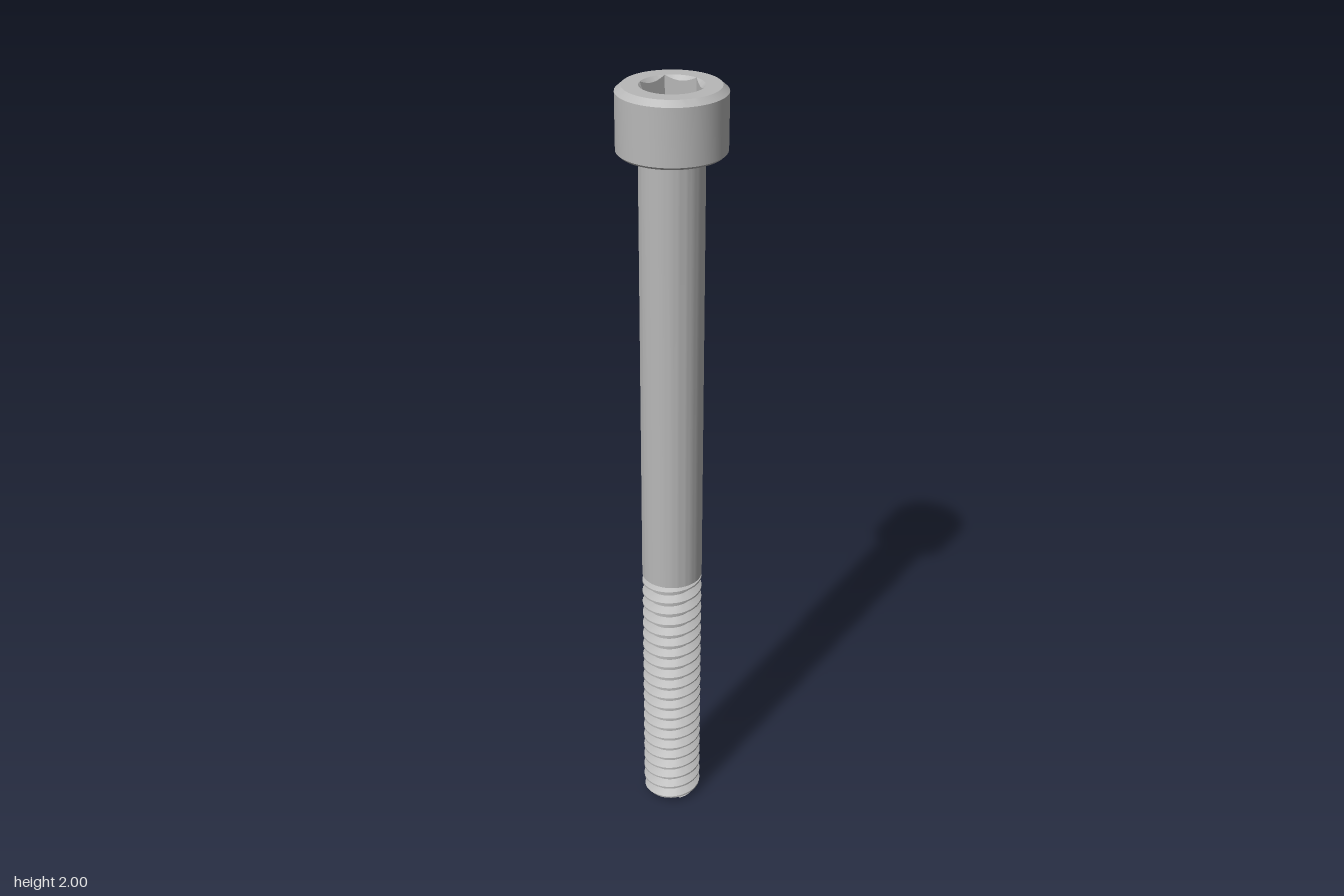
import * as THREE from 'three';
import { toCreasedNormals } from 'three/addons/utils/BufferGeometryUtils.js';

const steel = new THREE.MeshStandardMaterial({ color: 0xb8b8b8 });
steel.name = 'steel';

const HEAD_R = 0.128, SHANK_R = 0.077, ROOT_R = 0.058, TIP_R = 0.062;
const HEAD_Y = 1.847, THREAD_TOP = 0.718, PITCH = 0.0342;
const SOCKET_R = 0.0745, SOCKET_DEPTH = 0.08, SOCKET_TURN = -0.11;

function part(name, geometry, crease = 0.4) {
  const mesh = new THREE.Mesh(toCreasedNormals(geometry, crease), steel);
  mesh.name = name;
  return mesh;
}

function lathe(name, profile) {
  return part(name, new THREE.LatheGeometry(profile.map(([r, y]) => new THREE.Vector2(r, y)), 72));
}

// Sheet wrapped round the y axis; at(angle, row) gives [radius, height]
function sheet(start, end, cols, rows, at) {
  const positions = [], index = [];
  for (let j = 0; j <= cols; j++) {
    const t = start + (end - start) * j / cols;
    for (let k = 0; k < rows; k++) {
      const [r, y] = at(t, k);
      positions.push(r * Math.sin(t), y, r * Math.cos(t));
      if (j < cols && k < rows - 1) {
        const a = j * rows + k, b = a + rows;
        index.push(a, b, b + 1, a, b + 1, a + 1);
      }
    }
  }
  const geometry = new THREE.BufferGeometry();
  geometry.setAttribute('position', new THREE.Float32BufferAttribute(positions, 3));
  geometry.setIndex(index);
  return geometry;
}

// Right-handed helical thread, trimmed at both ends and tapered at the tip
function thread() {
  const profile = [[ROOT_R, 0], [ROOT_R, 0.2], [SHANK_R, 0.53], [SHANK_R, 0.67], [ROOT_R, 1]];
  const turns = Math.ceil(THREAD_TOP / PITCH) + 1;
  return sheet(-Math.PI * 2, (turns - 1) * Math.PI * 2, turns * 36, profile.length, (t, k) => {
    const [r, offset] = profile[k];
    const y = THREE.MathUtils.clamp(PITCH * (t / (Math.PI * 2) + offset), 0, THREAD_TOP);
    return [Math.min(r, TIP_R + y), y];
  });
}

// Hexagonal recess with a conical lead-in and flat floor
function socket() {
  const side = Math.PI / 3;
  const apothem = SOCKET_R * Math.cos(side / 2);
  return sheet(SOCKET_TURN, SOCKET_TURN + Math.PI * 2, 72, 4, (t, k) => {
    const local = THREE.MathUtils.euclideanModulo(t - SOCKET_TURN + 1e-7, side) - side / 2;
    const r = apothem / Math.cos(local);
    return [
      [SOCKET_R, 2],
      [r, 2 - (SOCKET_R - r)],
      [r, 2 - SOCKET_DEPTH],
      [0, 2 - SOCKET_DEPTH],
    ][k];
  });
}

export function createModel() {
  const bolt = new THREE.Group();
  bolt.name = 'socketHeadBolt';

  // Cylindrical head with chamfered edges
  bolt.add(lathe('head', [
    [SHANK_R - 0.002, HEAD_Y], [HEAD_R - 0.006, HEAD_Y], [HEAD_R, HEAD_Y + 0.006],
    [HEAD_R, 1.987], [0.113, 2], [SOCKET_R, 2],
  ]));
  bolt.add(part('hexSocket', socket(), 0.3));

  // Plain shank, narrowing into the thread
  bolt.add(lathe('shank', [
    [ROOT_R - 0.002, THREAD_TOP - 0.012], [SHANK_R, THREAD_TOP], [SHANK_R, HEAD_Y],
  ]));

  bolt.add(part('thread', thread()));
  bolt.add(lathe('tip', [[0, 0], [TIP_R, 0]]));
  return bolt;
}
